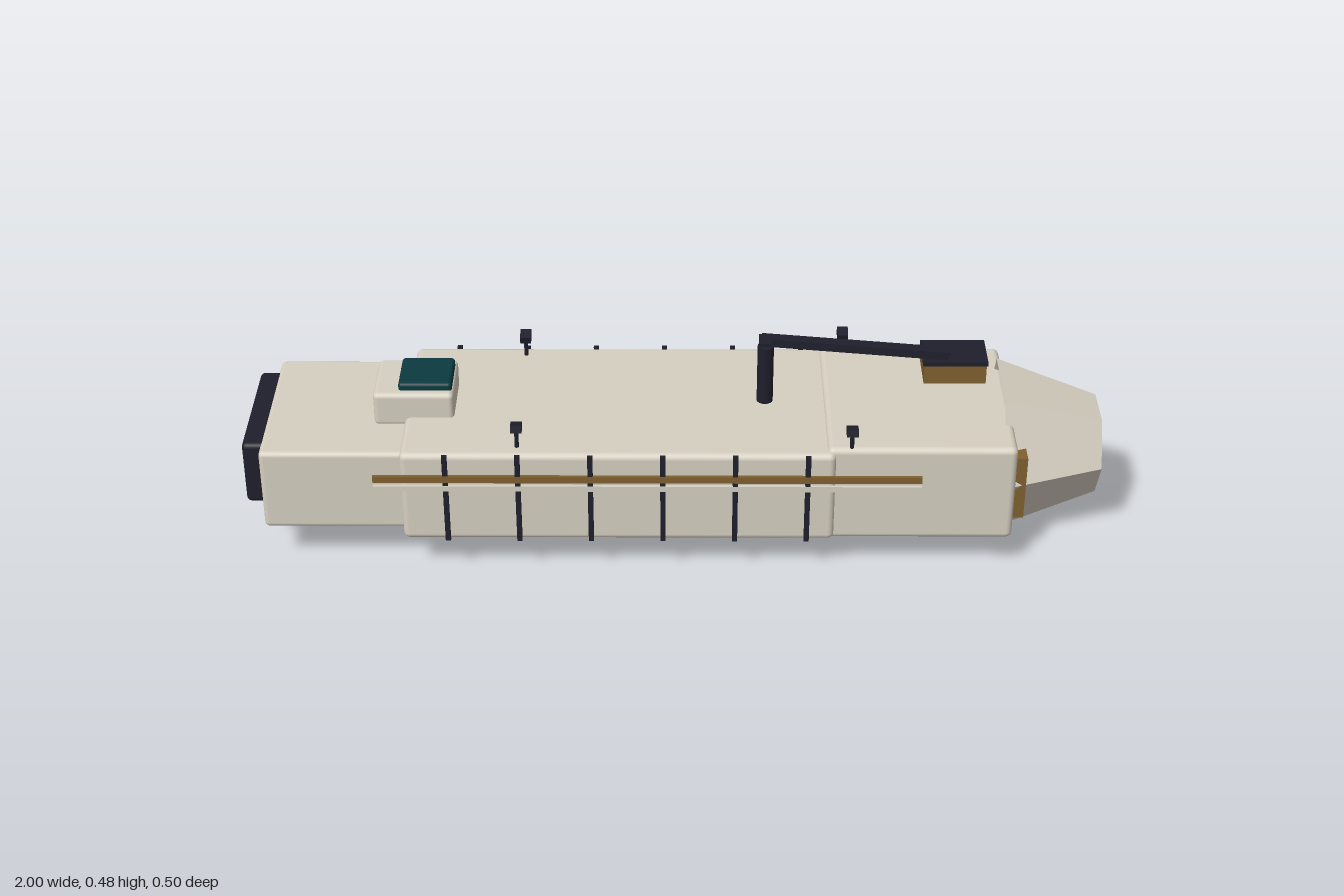
import * as THREE from 'three';
import { RoundedBoxGeometry } from 'three/addons/geometries/RoundedBoxGeometry.js';

const mat = (name, color, extra = {}) => {
  const m = new THREE.MeshStandardMaterial({ color, ...extra });
  m.name = name;
  return m;
};

export function createModel() {
  const model = new THREE.Group();
  model.name = 'spacecraft';
  const cream = mat('cream hull', 0xd6cfc1);
  const creamShell = mat('cream faceted shell', 0xd6cfc1, { side: THREE.DoubleSide, flatShading: true });
  const dark = mat('dark metal', 0x1e1f2c);
  const gold = mat('bronze foil', 0x80602f);
  const teal = mat('teal glass', 0x0b3a40);

  const add = (name, geometry, material, parent = model) => {
    const mesh = new THREE.Mesh(geometry, material);
    mesh.name = name;
    parent.add(mesh);
    return mesh;
  };
  // Box given by its limits on each axis; a radius rounds the edges
  const box = (name, material, [x0, x1], [y0, y1], [z0, z1], radius = 0) => {
    const size = [x1 - x0, y1 - y0, z1 - z0];
    const geometry = radius
      ? new RoundedBoxGeometry(...size, 3, radius)
      : new THREE.BoxGeometry(...size);
    const mesh = add(name, geometry, material);
    mesh.position.set((x0 + x1) / 2, (y0 + y1) / 2, (z0 + z1) / 2);
    return mesh;
  };

  // Hull sections
  box('mainHull', cream, [-0.628, 0.37], [0.095, 0.328], [-0.243, 0.243], 0.015);
  box('foreHull', cream, [0.35, 0.785], [0.092, 0.338], [-0.232, 0.232], 0.015);
  box('aftHull', cream, [-0.955, -0.6], [0.105, 0.31], [-0.21, 0.21], 0.012);
  box('tailCap', dark, [-1, -0.94], [0.145, 0.305], [-0.165, 0.165], 0.012);

  // Open six-sided nose cone with the foil plate behind it
  box('nosePlate', gold, [0.77, 0.815], [0.12, 0.283], [-0.185, 0.185]);
  const noseGeometry = new THREE.CylinderGeometry(0.115, 0.2, 0.235, 6, 1, true);
  noseGeometry.rotateZ(-Math.PI / 2);
  const nose = add('noseCone', noseGeometry, creamShell);
  nose.position.set(0.8825, 0.21, 0);

  // Keel and its two pads
  box('keel', dark, [-0.69, 0.54], [0.037, 0.11], [-0.095, 0.095]);
  box('aftPad', cream, [-0.3, -0.09], [0.002, 0.045], [-0.058, 0.058], 0.006);
  box('forePad', cream, [-0.03, 0.18], [0.002, 0.045], [-0.058, 0.058], 0.006);

  // Roof turret
  box('turret', cream, [-0.7, -0.513], [0.305, 0.39], [-0.082, 0.082], 0.012);
  box('turretWindow', teal, [-0.642, -0.518], [0.38, 0.407], [-0.062, 0.062], 0.008);

  // Manipulator arm
  const post = add('armPost', new THREE.CylinderGeometry(0.019, 0.019, 0.155, 16), dark);
  post.position.set(0.212, 0.398, 0);
  box('armKnuckle', dark, [0.197, 0.227], [0.462, 0.483], [-0.042, 0.005]);
  const boom = box('armBoom', dark, [0.2, 0.638], [0.463, 0.483], [-0.015, 0.013]);
  boom.rotation.y = -0.145;
  box('armTray', gold, [0.578, 0.722], [0.405, 0.453], [-0.051, 0.051]);
  box('armTrayLid', dark, [0.575, 0.725], [0.452, 0.462], [-0.052, 0.052]);

  for (const side of [-1, 1]) {
    const label = side > 0 ? 'left' : 'right';
    const span = [side * 0.248 - 0.004, side * 0.248 + 0.004];

    // Side rails and the frames they run across
    box(label + 'BronzeRail', gold, [-0.69, 0.567], [0.258, 0.275], span);
    box(label + 'CreamRail', cream, [-0.69, 0.567], [0.235, 0.249], span);
    for (let i = 0; i < 6; i++) {
      const x = -0.524 + i * 0.166;
      box(label + 'Frame' + (i + 1), dark, [x - 0.006, x + 0.006], [0.097, 0.328],
        [side * 0.2465 - 0.0045, side * 0.2465 + 0.0045]);
    }

    // Roof lamps on short stalks, heads tipped inward
    for (const [x, z] of [[-0.36, 0.206], [0.405, 0.22]]) {
      const lamp = new THREE.Group();
      lamp.name = label + 'Lamp';
      lamp.position.set(x, 0, side * z);
      model.add(lamp);
      const stalk = add('lampStalk', new THREE.CylinderGeometry(0.005, 0.005, 0.06, 10), dark, lamp);
      stalk.position.y = 0.35;
      const head = add('lampHead', new THREE.BoxGeometry(0.026, 0.019, 0.031), dark, lamp);
      head.position.y = 0.38;
      head.rotation.x = -side * 0.25;
    }
  }
  return model;
}
